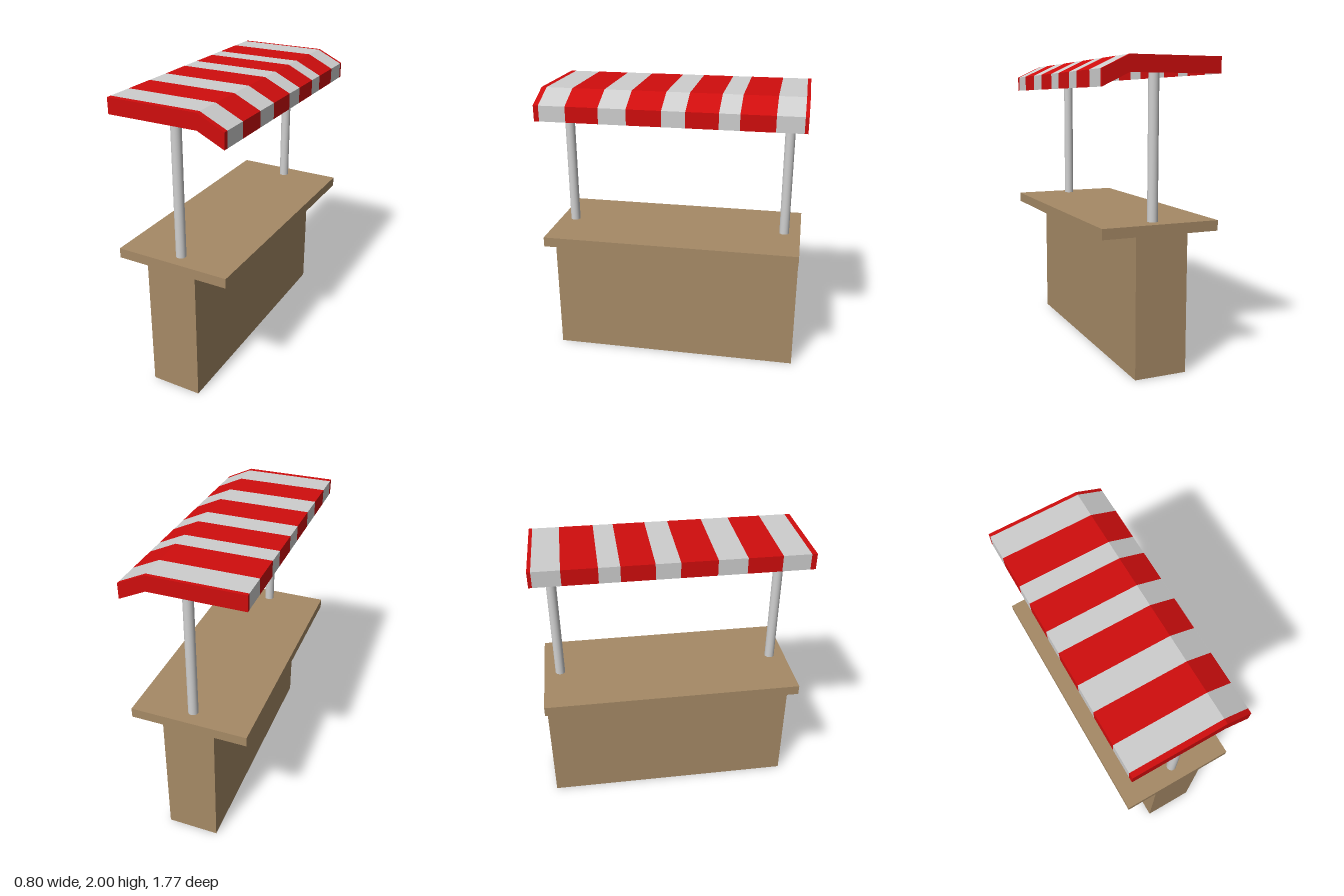
import * as THREE from 'three';

const material = (name, color, side = THREE.FrontSide) => {
  const m = new THREE.MeshStandardMaterial({ color, side });
  m.name = name;
  return m;
};

// Canopy cross-section (x, y), open at the bottom
const PROFILE = [[-0.4, 1.895], [-0.4, 2], [0.22, 2], [0.398, 1.915], [0.398, 1.81]];
// Stripe boundaries along z, alternating red and white
const STRIPES = [-0.885, -0.862, -0.688, -0.465, -0.332, -0.12, 0.035, 0.265, 0.45, 0.67, 0.85, 0.885];

// One band of the canopy shell, flat faces with sharp folds
function bandGeometry(z0, z1) {
  const pos = [];
  for (let i = 0; i < PROFILE.length - 1; i++) {
    const [ax, ay] = PROFILE[i];
    const [bx, by] = PROFILE[i + 1];
    pos.push(ax, ay, z0, ax, ay, z1, bx, by, z1);
    pos.push(ax, ay, z0, bx, by, z1, bx, by, z0);
  }
  const g = new THREE.BufferGeometry();
  g.setAttribute('position', new THREE.Float32BufferAttribute(pos, 3));
  g.computeVertexNormals();
  return g;
}

export function createModel() {
  const model = new THREE.Group();
  model.name = 'marketStall';

  const wood = material('wood', 0xa68a66);
  const metal = material('paleMetal', 0xd0d0d0);
  const red = material('redCloth', 0xd00d0d, THREE.DoubleSide);
  const white = material('whiteCloth', 0xcecece, THREE.DoubleSide);

  const add = (parent, name, geometry, mat, x = 0, y = 0, z = 0) => {
    const mesh = new THREE.Mesh(geometry, mat);
    mesh.name = name;
    mesh.position.set(x, y, z);
    parent.add(mesh);
  };

  // Counter
  add(model, 'counterBase', new THREE.BoxGeometry(0.355, 0.91, 1.77), wood, -0.003, 0.455, 0);
  add(model, 'counterTop', new THREE.BoxGeometry(0.798, 0.068, 1.77), wood, -0.001, 0.944, 0);

  // Poles
  for (const [name, z] of [['frontPole', 0.776], ['backPole', -0.771]]) {
    add(model, name, new THREE.CylinderGeometry(0.034, 0.034, 1.02, 32), metal, 0.008, 1.485, z);
  }

  // Striped canopy
  const canopy = new THREE.Group();
  canopy.name = 'canopy';
  model.add(canopy);
  for (let i = 0; i < STRIPES.length - 1; i++) {
    add(canopy, i % 2 ? 'whiteStripe' : 'redStripe', bandGeometry(STRIPES[i], STRIPES[i + 1]), i % 2 ? white : red);
  }

  // Hanging end flaps that follow the fold of the canopy
  const outline = [...PROFILE, [0.22, 1.895]].map(([x, y]) => new THREE.Vector2(x, y));
  const flap = new THREE.ShapeGeometry(new THREE.Shape(outline));
  add(canopy, 'frontFlap', flap, red, 0, 0, 0.885);
  const backFlap = flap.clone().rotateY(Math.PI).scale(-1, 1, 1);
  add(canopy, 'backFlap', backFlap, red, 0, 0, -0.885);
  // Mirroring reverses the corners, so restore their order and normals
  const index = backFlap.index.array;
  for (let i = 0; i < index.length; i += 3) [index[i + 1], index[i + 2]] = [index[i + 2], index[i + 1]];
  backFlap.computeVertexNormals();

  return model;
}
